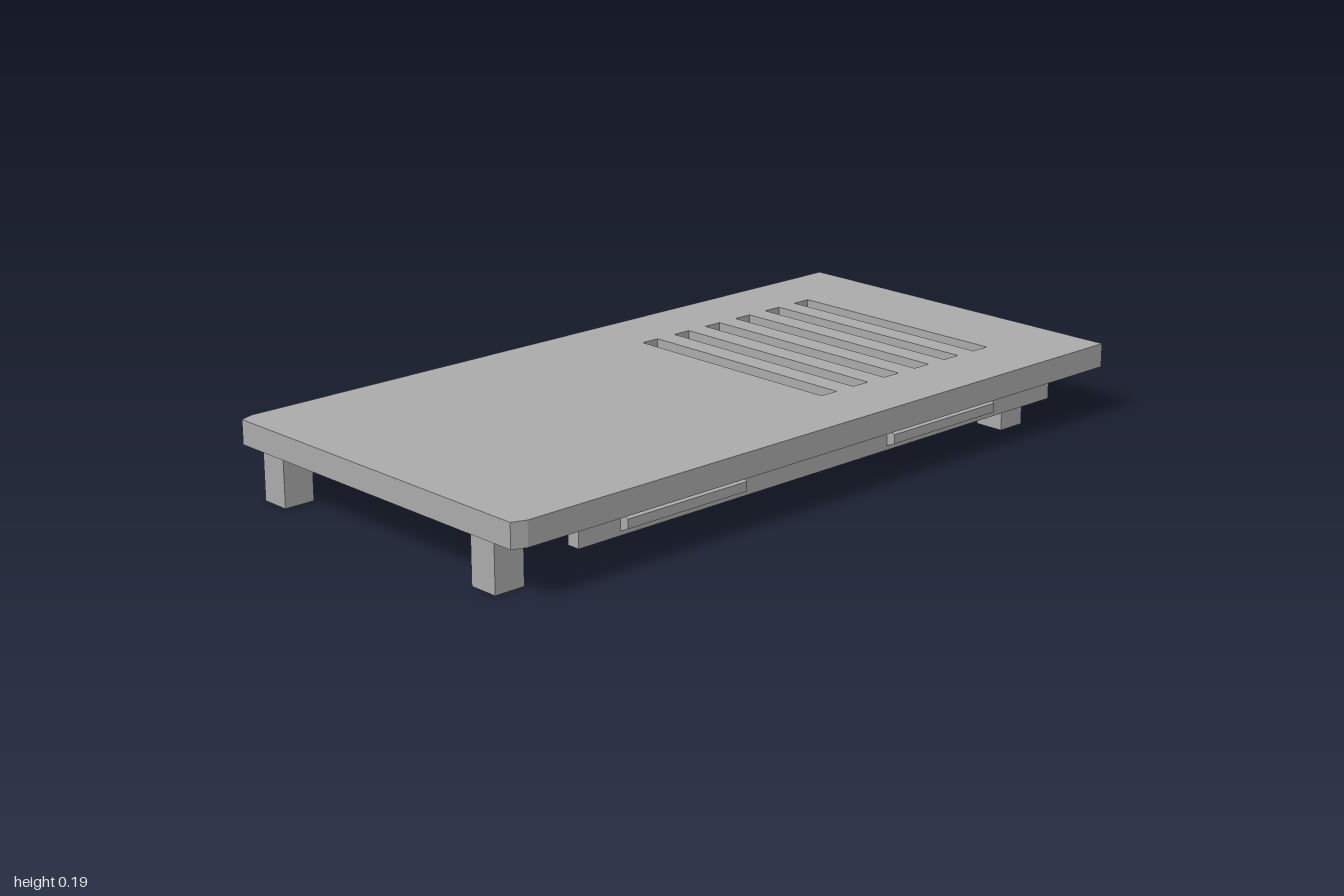
import * as THREE from 'three';

export function createModel() {
  const group = new THREE.Group();
  const grey = new THREE.MeshStandardMaterial({ color: 0xaaaaaa });
  grey.name = 'plainGrey';

  const add = (name, geometry, x = 0, y = 0, z = 0) => {
    const mesh = new THREE.Mesh(geometry, grey);
    mesh.name = name;
    mesh.position.set(x, y, z);
    group.add(mesh);
    return mesh;
  };
  const box = (name, x0, x1, y0, y1, z0, z1) =>
    add(name, new THREE.BoxGeometry(x1 - x0, y1 - y0, z1 - z0),
      (x0 + x1) / 2, (y0 + y1) / 2, (z0 + z1) / 2);
  const polygon = (Type, points) => new Type(points.map(([x, y]) => new THREE.Vector2(x, y)));

  const underside = 0.127, top = 0.19;

  // Cover plate: two clipped corners and six vent slots
  const outline = polygon(THREE.Shape, [
    [-0.963, -0.51], [1, -0.51], [1, 0.51], [-0.963, 0.51], [-1, 0.496], [-1, -0.496],
  ]);
  for (let i = 0; i < 6; i++) {
    const x = 0.138 + i * 0.1133, w = 0.053;
    outline.holes.push(polygon(THREE.Path, [
      [x, -0.323], [x, 0.323], [x + w, 0.323], [x + w, -0.323],
    ]));
  }
  const plate = new THREE.ExtrudeGeometry(outline, { depth: top - underside, bevelEnabled: false });
  plate.rotateX(-Math.PI / 2);
  add('coverPlate', plate, 0, underside, 0);

  // Tapered clip ridge profile, drawn as (outward, up)
  const ridge = polygon(THREE.Shape, [[0, 0.061], [0.025, 0.072], [0.025, 0.096], [0, 0.107]]);
  const ridgeLength = 0.375;

  for (const side of [1, -1]) {
    const label = side > 0 ? 'front' : 'back';
    const span = (a, b) => (side > 0 ? [a, b] : [-b, -a]);

    // Feet
    box(label + 'RightFoot', -0.99, -0.907, 0, underside, ...span(0.348, 0.428));
    box(label + 'LeftFoot', 0.7, 0.78, 0, underside, ...span(0.348, 0.428));

    // Long rail under the plate
    box(label + 'Rail', -0.755, 0.877, 0.05, underside, ...span(0.4, 0.436));

    // Clip ridges on the outer face of the rail
    for (const x of [-0.442, 0.442]) {
      const geometry = new THREE.ExtrudeGeometry(ridge, { depth: ridgeLength, bevelEnabled: false });
      geometry.translate(0, 0, -ridgeLength / 2);
      geometry.rotateY(-side * Math.PI / 2);
      add(label + 'ClipRidge', geometry, x, 0, side * 0.436);
    }
  }

  return group;
}
